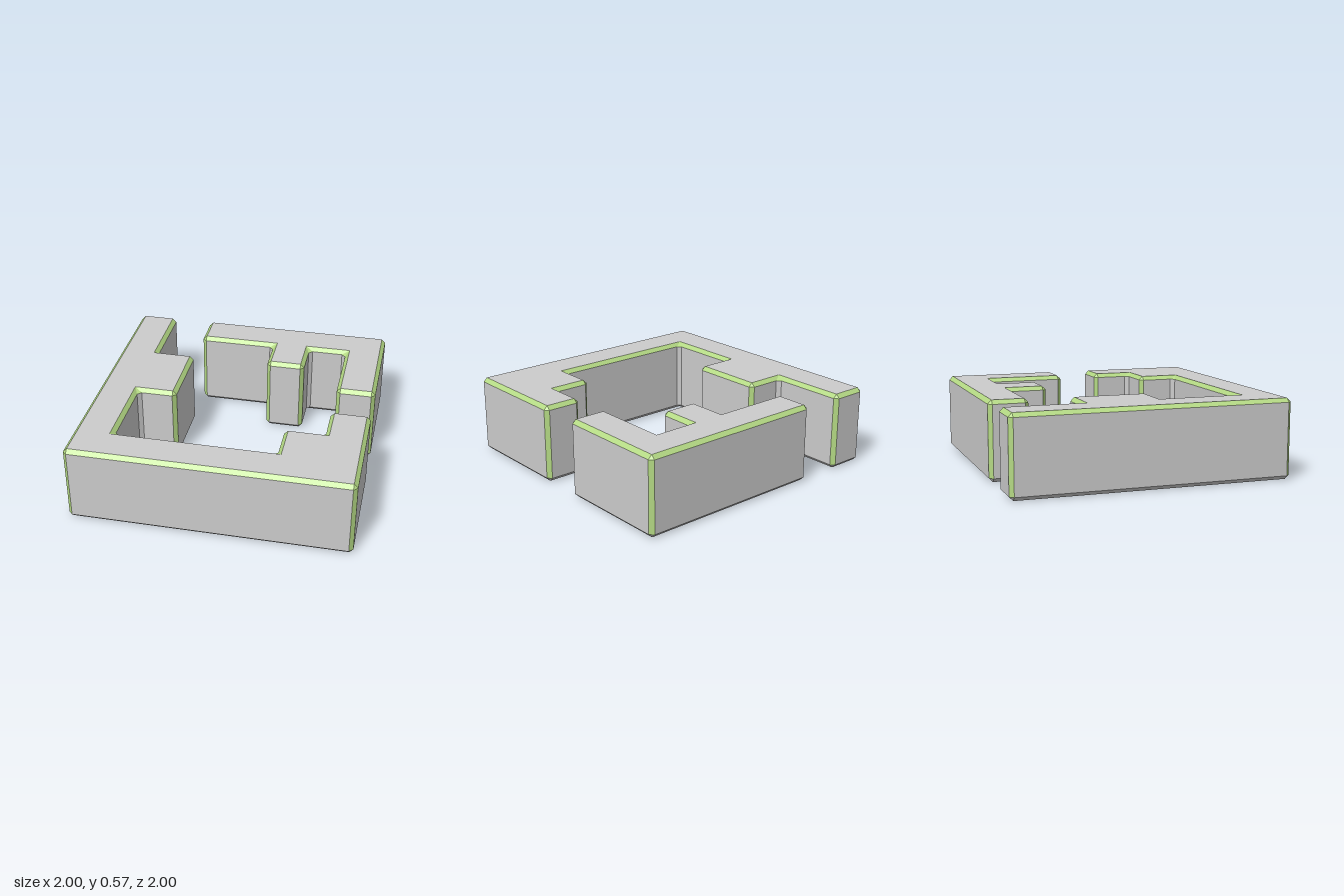
import * as THREE from 'three';

const CELL = 2 / 7;          // plan grid: 7 x 7 cells
const HEIGHT = 2 * CELL;
const BEVEL = 0.028;

// Plan outlines in cells [x, z], counter-clockwise seen from above
const MAIN_WALL = [
  [0, 0], [0, 7], [7, 7], [7, 4], [6, 4], [6, 5], [5, 5], [5, 6],
  [1, 6], [1, 4], [2, 4], [2, 2], [1, 2], [1, 0],
];
const BACK_WALL = [
  [2, 0], [2, 1], [4, 1], [4, 2], [5, 2], [5, 1], [6, 1], [6, 3], [7, 3], [7, 0],
];

// Collects flat faces and turns them into one mesh
class Faces {
  constructor() { this.data = []; }
  add(...corners) {
    for (let i = 1; i < corners.length - 1; i++) {
      for (const p of [corners[0], corners[i], corners[i + 1]]) this.data.push(p.x, p.y, p.z);
    }
  }
  mesh(name, color) {
    const geometry = new THREE.BufferGeometry();
    geometry.setAttribute('position', new THREE.Float32BufferAttribute(this.data, 3));
    geometry.computeVertexNormals();
    const mesh = new THREE.Mesh(geometry, new THREE.MeshStandardMaterial({ color }));
    mesh.name = name;
    return mesh;
  }
}

// Wall block with sharp top and bottom faces, bevelled rims and chamfered corners
function bevelledBlock(name, cells) {
  const body = new Faces();
  const trim = new Faces();
  const low = BEVEL, high = HEIGHT - BEVEL;
  const at = (p, y) => new THREE.Vector3(p.x, y, -p.y);

  // Plan space is (x, -z), so the outline stays counter-clockwise
  const pts = cells.map(([x, z]) => new THREE.Vector2(x * CELL - 1, 1 - z * CELL));
  const n = pts.length;
  const corners = pts.map((p, i) => {
    const before = p.clone().sub(pts[(i + n - 1) % n]).normalize();
    const after = pts[(i + 1) % n].clone().sub(p).normalize();
    const inward = new THREE.Vector2(-before.y - after.y, before.x + after.x);
    return {
      start: p.clone().addScaledVector(before, -BEVEL),
      end: p.clone().addScaledVector(after, BEVEL),
      inset: p.clone().addScaledVector(inward, BEVEL),
      convex: before.cross(after) > 0,
    };
  });

  corners.forEach((c, i) => {
    const next = corners[(i + 1) % n];
    // Straight wall with its upper and lower bevel
    body.add(at(c.end, low), at(next.start, low), at(next.start, high), at(c.end, high));
    trim.add(at(c.end, high), at(next.start, high), at(next.inset, HEIGHT), at(c.inset, HEIGHT));
    body.add(at(c.inset, 0), at(next.inset, 0), at(next.start, low), at(c.end, low));
    // Vertical chamfer (coloured on outer corners only) and its end triangles
    (c.convex ? trim : body).add(at(c.start, low), at(c.end, low), at(c.end, high), at(c.start, high));
    trim.add(at(c.start, high), at(c.end, high), at(c.inset, HEIGHT));
    body.add(at(c.inset, 0), at(c.end, low), at(c.start, low));
  });

  // Top and bottom caps
  const rim = corners.map((c) => c.inset);
  for (const [a, b, c] of THREE.ShapeUtils.triangulateShape(rim, [])) {
    body.add(at(rim[a], HEIGHT), at(rim[b], HEIGHT), at(rim[c], HEIGHT));
    body.add(at(rim[c], 0), at(rim[b], 0), at(rim[a], 0));
  }

  const group = new THREE.Group();
  group.name = name;
  group.add(body.mesh(name + 'Body', 0xcccccc), trim.mesh(name + 'EdgeTrim', 0xb4d984));
  return group;
}

export function createModel() {
  const model = new THREE.Group();
  model.name = 'wallBlocks';
  model.add(bevelledBlock('mainWall', MAIN_WALL), bevelledBlock('backWall', BACK_WALL));
  return model;
}
